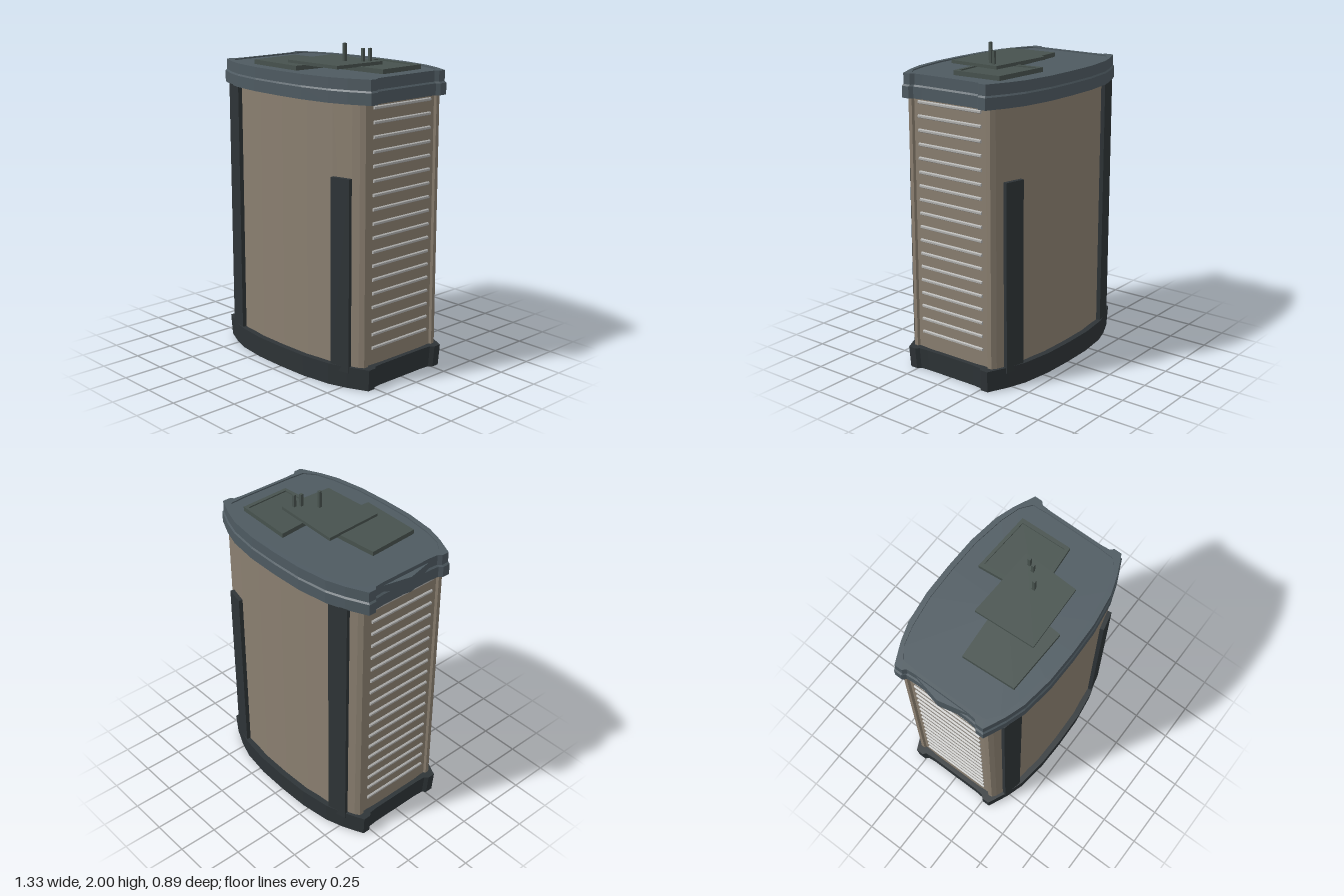
import * as THREE from 'three';

const paint = (color) => new THREE.MeshStandardMaterial({ color, flatShading: true, side: THREE.DoubleSide });
const tan = paint(0x8a7f70), dark = paint(0x2e3437), slate = paint(0x4e5a61);
const olive = paint(0x47524e), grey = paint(0xb0b0ae);

// Quarter outlines [x, z], from the side centre to the front centre
const RIM = [[0.635, 0], [0.635, 0.18], [0.64, 0.24], [0.66, 0.26], [0.66, 0.31],
  [0.53, 0.37], [0.41, 0.41], [0.21, 0.438], [0, 0.443]];
const INSET = [[0.605, 0], [0.605, 0.18], [0.6, 0.24], [0.6, 0.27], [0.595, 0.285],
  [0.53, 0.335], [0.41, 0.37], [0.21, 0.4], [0, 0.405]];
const BODY = [[0.6, 0], [0.6, 0.27], [0.615, 0.277], [0.612, 0.305], [0.585, 0.325],
  [0.54, 0.343], [0.41, 0.375], [0.21, 0.395], [0, 0.4]];

// Mirrors a quarter outline into a closed ring at height y
function ring(quarter, y, s = 1) {
  const half = [...quarter, ...quarter.slice(0, -1).reverse().map(([x, z]) => [-x, z])];
  const full = [...half, ...half.slice(1, -1).reverse().map(([x, z]) => [x, -z])];
  return full.map(([x, z]) => new THREE.Vector3(x * s, y, z * s));
}

// Skins a list of rings; a ring of scale 0 closes the end
function loft(rings) {
  const points = [];
  const tri = (a, b, c) => {
    if (!a.equals(b) && !b.equals(c) && !a.equals(c)) points.push(a, b, c);
  };
  for (let k = 0; k < rings.length - 1; k++) {
    const lo = rings[k], hi = rings[k + 1];
    for (let i = 0; i < lo.length; i++) {
      const j = (i + 1) % lo.length;
      tri(lo[i], hi[i], hi[j]);
      tri(lo[i], hi[j], lo[j]);
    }
  }
  const geo = new THREE.BufferGeometry().setFromPoints(points);
  geo.computeVertexNormals();
  return geo;
}

// Upright prism over a polygon of [x, z] corners, with an optional hole
function slab(corners, y, height, hole) {
  const flat = (list) => list.map(([x, z]) => new THREE.Vector2(x, -z));
  const shape = new THREE.Shape(flat(corners));
  if (hole) shape.holes.push(new THREE.Path(flat(hole)));
  const geo = new THREE.ExtrudeGeometry(shape, { depth: height, bevelEnabled: false });
  return geo.rotateX(-Math.PI / 2).translate(0, y, 0);
}

export function createModel() {
  const model = new THREE.Group();
  const add = (name, geo, mat) => {
    const mesh = new THREE.Mesh(geo, mat);
    mesh.name = name;
    model.add(mesh);
    return mesh;
  };

  // Thin hollow shell
  add('bodyShell', loft([ring(BODY, 0.08), ring(BODY, 1.72)]), tan);

  // Open base band, slightly flared upward
  add('baseBand', loft([ring(INSET, 0), ring(RIM, 0, 0.985), ring(RIM, 0.135),
    ring(INSET, 0.135), ring(INSET, 0)]), dark);

  // Lid with stepped edge and shallow tray
  add('lid', loft([ring(RIM, 1.71, 0), ring(RIM, 1.71), ring(RIM, 1.78), ring(RIM, 1.79, 0.985),
    ring(RIM, 1.855, 0.985), ring(INSET, 1.855), ring(INSET, 1.847), ring(INSET, 1.847, 0)]), slate);
  add('lidHandle', slab([[-0.62, -0.2], [-0.665, 0], [-0.62, 0.2]], 1.73, 0.1), slate);

  // Corner strips, tall on one side and short on the other, front and back
  for (const [side, top, name] of [[-1, 1.715, 'tallStrip'], [1, 1.28, 'shortStrip']]) {
    for (const face of [1, -1]) {
      const strip = add(name, new THREE.BoxGeometry(0.128, top - 0.1, 0.05), dark);
      strip.position.set(side * 0.477, (top + 0.1) / 2, face * 0.36);
      strip.rotation.y = side * face * 0.23;
    }
  }

  // Rows of side slats
  const slatGeo = new THREE.CylinderGeometry(0.011, 0.011, 0.47, 6).rotateX(Math.PI / 2);
  for (const side of [1, -1]) {
    for (let i = 0; i < 18; i++) {
      add('sideSlat', slatGeo, grey).position.set(side * 0.603, 0.24 + i * 0.085, 0);
    }
  }

  // Overlapping plates on the lid
  add('leftPlate', slab([[-0.39, -0.035], [0.06, -0.07], [0.035, 0.32], [-0.37, 0.305]], 1.845, 0.03), olive);
  add('centrePlate', slab([[-0.14, -0.14], [0.315, -0.12], [0.3, 0.235], [-0.12, 0.25]], 1.872, 0.02), olive);
  const outer = [[0.095, -0.295], [0.485, -0.275], [0.495, 0.055], [0.13, 0.085]];
  const inner = [[0.125, -0.275], [0.46, -0.255], [0.47, 0.035], [0.155, 0.055]];
  add('framePlate', slab(outer, 1.845, 0.03, inner), olive);
  add('framePanel', slab(inner, 1.845, 0.022), olive);

  // Upright pins
  for (const [x, z, top] of [[0.162, 0.045, 2], [0.247, -0.025, 1.97], [0.267, -0.064, 1.97]]) {
    add('pin', new THREE.BoxGeometry(0.018, top - 1.88, 0.018), olive)
      .position.set(x, (top + 1.88) / 2, z);
  }
  return model;
}
